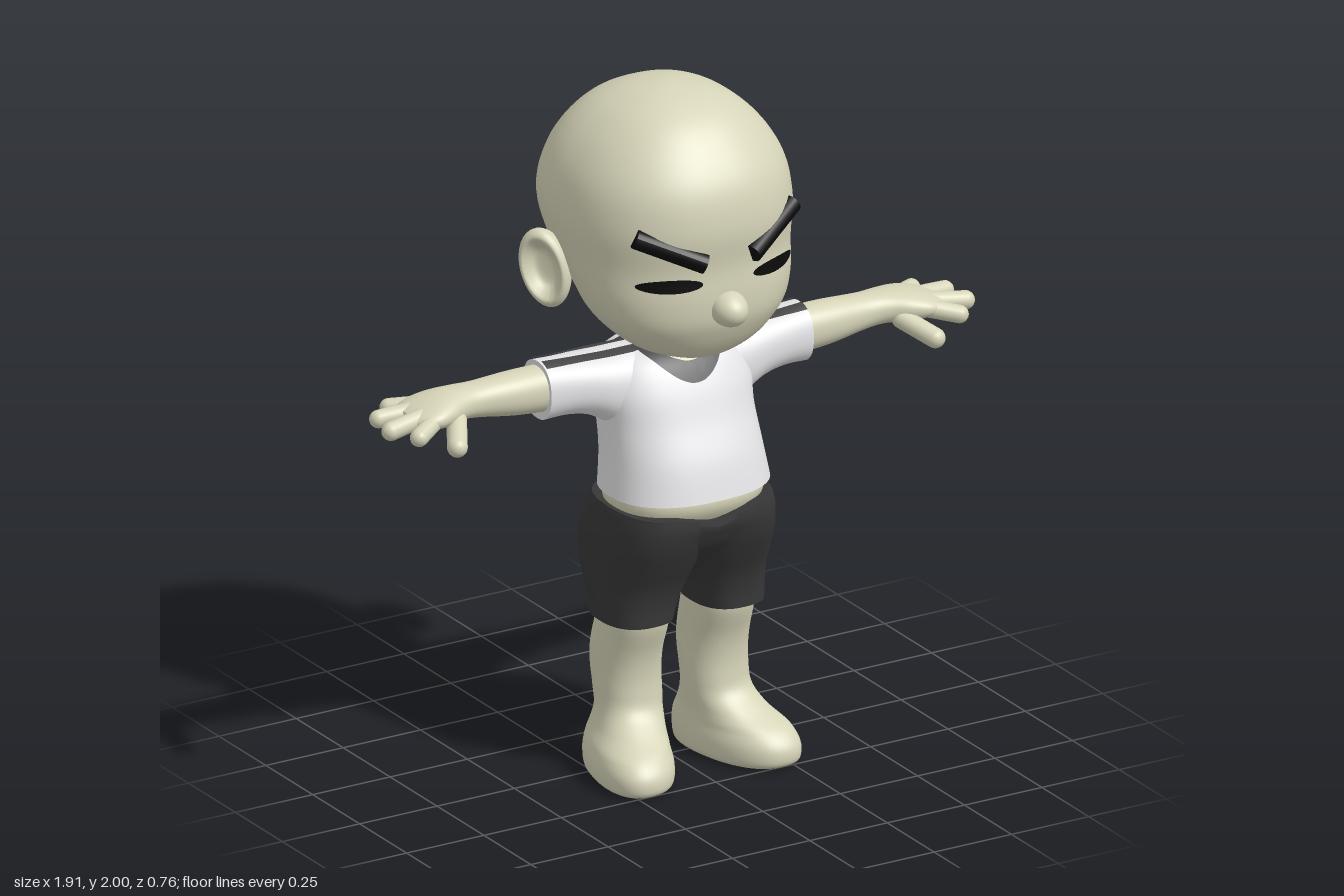
import * as THREE from 'three';

const material = (name, color) => {
  const m = new THREE.MeshStandardMaterial({ color });
  m.name = name;
  return m;
};

// Smooth loft of superellipse rings. Section: [position, aMin, aMax, bMin, bMax].
// Axis 'y': a = x, b = z. Axis 'x': a = z, b = y.
function loft(axis, sections, power = 2.3, warp = null, sides = 48, steps = 5) {
  const rings = [];
  const last = sections.length - 1;
  for (let i = 0; i <= last * steps; i++) {
    const k = Math.min(Math.floor(i / steps), last - 1), t = i / steps - k;
    const [p, q, r, s] = [k - 1, k, k + 1, k + 2].map(n => sections[Math.max(0, Math.min(last, n))]);
    rings.push(q.map((v, c) => {
      const c1 = r[c] - p[c];
      const c2 = 2 * p[c] - 5 * v + 4 * r[c] - s[c];
      const c3 = 3 * (v - r[c]) + s[c] - p[c];
      return v + 0.5 * t * (c1 + t * (c2 + t * c3));
    }));
  }
  const pos = [], index = [];
  const add = (h, a, b) => {
    const v = axis === 'y' ? new THREE.Vector3(a, h, b) : new THREE.Vector3(h, b, a);
    if (warp) warp(v);
    pos.push(v.x, v.y, v.z);
  };
  const addRing = ([h, a0, a1, b0, b1]) => {
    for (let j = 0; j < sides; j++) {
      const th = j / sides * Math.PI * 2, c = Math.cos(th), s = Math.sin(th);
      const round = v => Math.sign(v) * Math.pow(Math.abs(v), 2 / power);
      add(h, (a0 + a1) / 2 + (a1 - a0) / 2 * round(c), (b0 + b1) / 2 + (b1 - b0) / 2 * round(s));
    }
  };
  rings.forEach(addRing);
  for (let i = 0; i < rings.length - 1; i++) {
    for (let j = 0; j < sides; j++) {
      const a = i * sides + j, b = i * sides + (j + 1) % sides;
      index.push(a, a + sides, b, b, a + sides, b + sides);
    }
  }
  // Flat end caps with their own vertices
  [rings[0], rings[rings.length - 1]].forEach((ring, end) => {
    const start = pos.length / 3;
    addRing(ring);
    add(ring[0], (ring[1] + ring[2]) / 2, (ring[3] + ring[4]) / 2);
    for (let j = 0; j < sides; j++) {
      const a = start + j, b = start + (j + 1) % sides;
      index.push(start + sides, end ? b : a, end ? a : b);
    }
  });
  const g = new THREE.BufferGeometry();
  g.setAttribute('position', new THREE.Float32BufferAttribute(pos, 3));
  g.setIndex(index);
  g.computeVertexNormals();
  return g;
}

// Mirrored copy across x = 0 with corners kept in order
function mirrored(geometry) {
  const g = geometry.clone();
  g.scale(-1, 1, 1);
  const ix = g.index.array;
  for (let i = 0; i < ix.length; i += 3) [ix[i], ix[i + 1]] = [ix[i + 1], ix[i]];
  g.computeVertexNormals();
  return g;
}

// Lays a flat patch onto surfaces, looking along dir
function drape(geometry, targets, dir, lift = 0.005) {
  const ray = new THREE.Raycaster(), p = geometry.attributes.position;
  for (let i = 0; i < p.count; i++) {
    const v = new THREE.Vector3().fromBufferAttribute(p, i);
    ray.set(v.clone().addScaledVector(dir, -3), dir);
    const hit = ray.intersectObjects(targets, false)[0];
    if (hit) v.copy(hit.point).addScaledVector(hit.face.normal, lift);
    p.setXYZ(i, v.x, v.y, v.z);
  }
  geometry.computeVertexNormals();
  return geometry;
}

// Rod or capsule between two points
function between(geometry, a, b) {
  const A = new THREE.Vector3(...a), B = new THREE.Vector3(...b);
  const q = new THREE.Quaternion().setFromUnitVectors(new THREE.Vector3(0, 1, 0), B.clone().sub(A).normalize());
  const mid = A.add(B).multiplyScalar(0.5);
  return geometry.applyQuaternion(q).translate(mid.x, mid.y, mid.z);
}
const gap = (a, b) => Math.hypot(a[0] - b[0], a[1] - b[1], a[2] - b[2]);

export function createModel() {
  const skin = material('skin', 0xd6d4b8), white = material('shirt white', 0xe4e4e6);
  const grey = material('trim grey', 0x444444), dark = material('shorts charcoal', 0x383838);
  const black = material('black', 0x0b0b0b);
  const model = new THREE.Group();
  model.name = 'figure';
  const put = (name, geometry, mat) => {
    const m = new THREE.Mesh(geometry, mat);
    m.name = name;
    model.add(m);
    return m;
  };
  const pair = (name, g, mat) => [put('left' + name, g, mat), put('right' + name, mirrored(g), mat)];
  const sym = rows => rows.map(([y, w, b, f]) => [y, -w, w, b, f]);

  // Head
  const head = put('head', loft('y', sym([
    [1.262, .04, .13, .21], [1.272, .10, .08, .235], [1.30, .18, 0, .262], [1.345, .24, -.08, .29],
    [1.40, .283, -.14, .312], [1.47, .308, -.20, .318], [1.56, .326, -.31, .315], [1.67, .338, -.375, .325],
    [1.78, .318, -.355, .305], [1.87, .268, -.305, .25], [1.94, .195, -.235, .18], [1.98, .115, -.15, .10],
    [1.997, .04, -.07, .02], [2.0, .005, -.03, -.02]]), 2.3, null, 64), skin);
  put('nose', new THREE.SphereGeometry(1, 28, 20).scale(.053, .05, .065).rotateX(.15).translate(0, 1.44, .315), skin);
  put('neck', loft('y', sym([
    [1.18, .11, -.11, .10], [1.25, .10, -.10, .085], [1.31, .10, -.10, .09], [1.38, .11, -.11, .10]]), 2), skin);

  // Ears: dished cups facing outward and forward
  const earProfile = new THREE.SplineCurve([[0, -.09], [.04, -.075], [.066, -.03], [.072, .005], [.06, .022],
    [.046, .008], [.03, -.012], [0, -.015]].map(p => new THREE.Vector2(...p))).getPoints(28);
  earProfile.forEach(p => { p.x = Math.max(0, p.x); });
  pair('Ear', new THREE.LatheGeometry(earProfile, 32).rotateX(Math.PI / 2).scale(1, 1.6, 1)
    .rotateZ(-.25).rotateY(.95).translate(.357, 1.5, -.075), skin);

  // Eyes and brows
  const eye = new THREE.RingGeometry(.001, 1, 40, 5).scale(.084, .02, 1).translate(.164, 1.527, 0);
  pair('Eye', drape(eye, [head], new THREE.Vector3(0, 0, -1), .006), black);
  const browIn = [.075, 1.587, .318], browOut = [.254, 1.672, .236];
  pair('Brow', between(new THREE.CylinderGeometry(.028, .028, gap(browIn, browOut), 16), browIn, browOut), black);

  // Belly under the shirt
  put('belly', loft('y', sym([
    [.74, .19, -.07, .20], [.82, .226, -.106, .252], [.90, .21, -.1, .23], [.96, .18, -.08, .18]]), 2.4), skin);

  // Shirt body and sleeves
  const shirtBody = put('shirtBody', loft('y', sym([
    [.848, .242, -.115, .27], [.95, .229, -.122, .242], [1.05, .225, -.138, .197], [1.14, .232, -.148, .16],
    [1.21, .205, -.14, .118], [1.243, .15, -.12, .075], [1.255, .10, -.095, .04]]), 2.4), white);
  const sleeves = pair('Sleeve', loft('x', [
    [.05, -.115, .10, .98, 1.248], [.15, -.118, .10, 1.0, 1.25], [.22, -.115, .095, 1.045, 1.25],
    [.28, -.10, .087, 1.078, 1.252], [.35, -.087, .079, 1.092, 1.255], [.424, -.08, .073, 1.09, 1.26]], 2.3), white);
  const shirt = [shirtBody, ...sleeves];

  // Neckline, collar and shoulder stripes laid on the shirt
  const down = new THREE.Vector3(0, -1, 0);
  const ring = (r0, rx, rz) => new THREE.RingGeometry(r0, 1, 64, 6)
    .rotateX(-Math.PI / 2).scale(rx, 1, rz).translate(0, 0, .022);
  put('neckline', drape(ring(.001, .10, .098), shirt, down, .004), skin);
  put('collar', drape(ring(.73, .128, .128), shirt, down, .006), grey);
  for (const z of [-.04, .026]) {
    const stripe = new THREE.PlaneGeometry(.303, .03, 24, 4).rotateX(-Math.PI / 2).translate(.27, 0, z);
    pair('ShoulderStripe', drape(stripe, shirt, down), grey);
  }

  // Arms and hands
  pair('Arm', loft('x', [
    [.36, -.066, .062, 1.11, 1.245], [.50, -.066, .06, 1.12, 1.245], [.62, -.063, .05, 1.138, 1.238],
    [.68, -.07, .058, 1.145, 1.238], [.74, -.085, .085, 1.145, 1.235], [.79, -.09, .098, 1.15, 1.225],
    [.83, -.08, .088, 1.157, 1.212], [.855, -.05, .06, 1.17, 1.20]], 2.2), skin);
  const fingers = [
    ['Thumb', [.72, 1.165, .055], [.772, 1.128, .145], .029],
    ['IndexFinger', [.79, 1.185, .06], [.873, 1.165, .108], .026],
    ['MiddleFinger', [.80, 1.19, .03], [.928, 1.175, .048], .027],
    ['RingFinger', [.80, 1.19, -.02], [.915, 1.178, -.04], .026],
    ['LittleFinger', [.77, 1.187, -.055], [.845, 1.178, -.102], .025]];
  for (const [name, a, b, r] of fingers) {
    pair(name, between(new THREE.CapsuleGeometry(r, gap(a, b), 8, 18), a, b), skin);
  }

  // Shorts: two legs and a pelvis, waistband dipping at the middle
  const dip = v => {
    const rise = THREE.MathUtils.clamp((v.y - .74) / .07, 0, 1);
    v.y -= .032 * rise * Math.max(0, 1 - Math.abs(v.x) / .13);
  };
  pair('ShortsLeg', loft('y', [
    [.465, .043, .25, -.088, .165], [.52, .027, .252, -.10, .17], [.58, .002, .255, -.14, .187],
    [.65, -.02, .257, -.163, .222], [.71, -.03, .256, -.165, .25], [.77, -.05, .248, -.14, .267],
    [.812, -.06, .238, -.125, .267]], 2.5, dip), dark);
  put('shortsPelvis', loft('y', sym([
    [.59, .12, -.05, .13], [.66, .20, -.09, .20], [.72, .24, -.115, .247],
    [.78, .246, -.12, .268], [.812, .239, -.12, .268]]), 2.5, dip), dark);

  // Legs with feet turned slightly outward
  const splay = v => { v.x += .2 * v.z * THREE.MathUtils.clamp((.22 - v.y) / .12, 0, 1); };
  const leg = [
    [.002, .16, .10, -.11, .25], [.018, .16, .115, -.125, .272], [.06, .16, .118, -.13, .27],
    [.10, .157, .11, -.125, .237], [.14, .149, .098, -.105, .172], [.19, .141, .092, -.082, .115],
    [.25, .14, .092, -.09, .102], [.31, .14, .092, -.106, .103], [.37, .14, .092, -.103, .115],
    [.46, .138, .092, -.08, .145], [.54, .138, .088, -.07, .14]];
  pair('Leg', loft('y', leg.map(([y, c, w, b, f]) => [y, c - w, c + w, b, f]), 2.3, splay), skin);

  return model;
}
